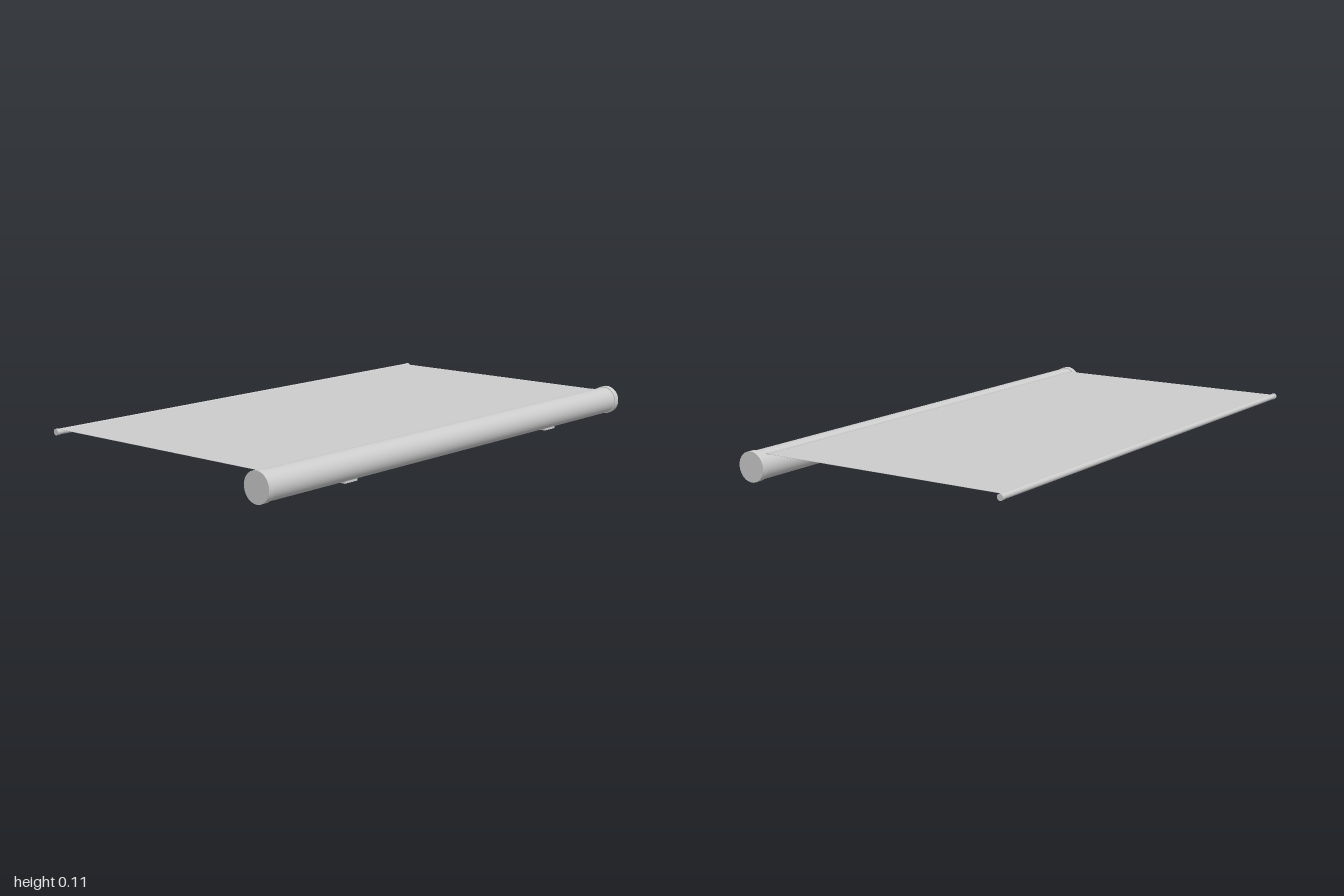
import * as THREE from 'three';

const material = new THREE.MeshStandardMaterial({ color: 0xcccccc });

export function createModel() {
  const model = new THREE.Group();

  const add = (name, geometry, x, y, z) => {
    const mesh = new THREE.Mesh(geometry, material);
    mesh.name = name;
    mesh.position.set(x, y, z);
    model.add(mesh);
  };
  // Cylinder lying along x
  const rod = (radius, length, sides) =>
    new THREE.CylinderGeometry(radius, radius, length, sides).rotateZ(Math.PI / 2);

  const rollY = 0.057, rollZ = 0.482;
  const barY = 0.091, barZ = -0.522;

  // Roller housing and the lip where the fabric leaves it
  add('rollerHousing', rod(0.051, 1.96, 64), 0, rollY, rollZ);
  add('fabricSlotLip', new THREE.BoxGeometry(1.914, 0.003, 0.014), 0, 0.099, 0.448);

  // Fabric sheet, pulled out flat from the roller to the bar
  add('fabric', new THREE.BoxGeometry(1.914, 0.001, 0.97), 0, 0.099, -0.035);

  // Weighted bar on the free edge
  add('bottomBar', rod(0.0105, 1.93, 32), 0, barY, barZ);

  // End caps and mounting feet, mirrored left and right
  for (const [side, s] of [['left', 1], ['right', -1]]) {
    add(side + 'HousingCap', rod(0.054, 0.024, 64), s * 0.988, rollY, rollZ);
    add(side + 'BarCap', rod(0.0115, 0.014, 32), s * 0.966, barY, barZ);
    add(side + 'MountingFoot', new THREE.BoxGeometry(0.064, 0.012, 0.028), s * 0.575, 0.006, rollZ);
  }
  return model;
}
